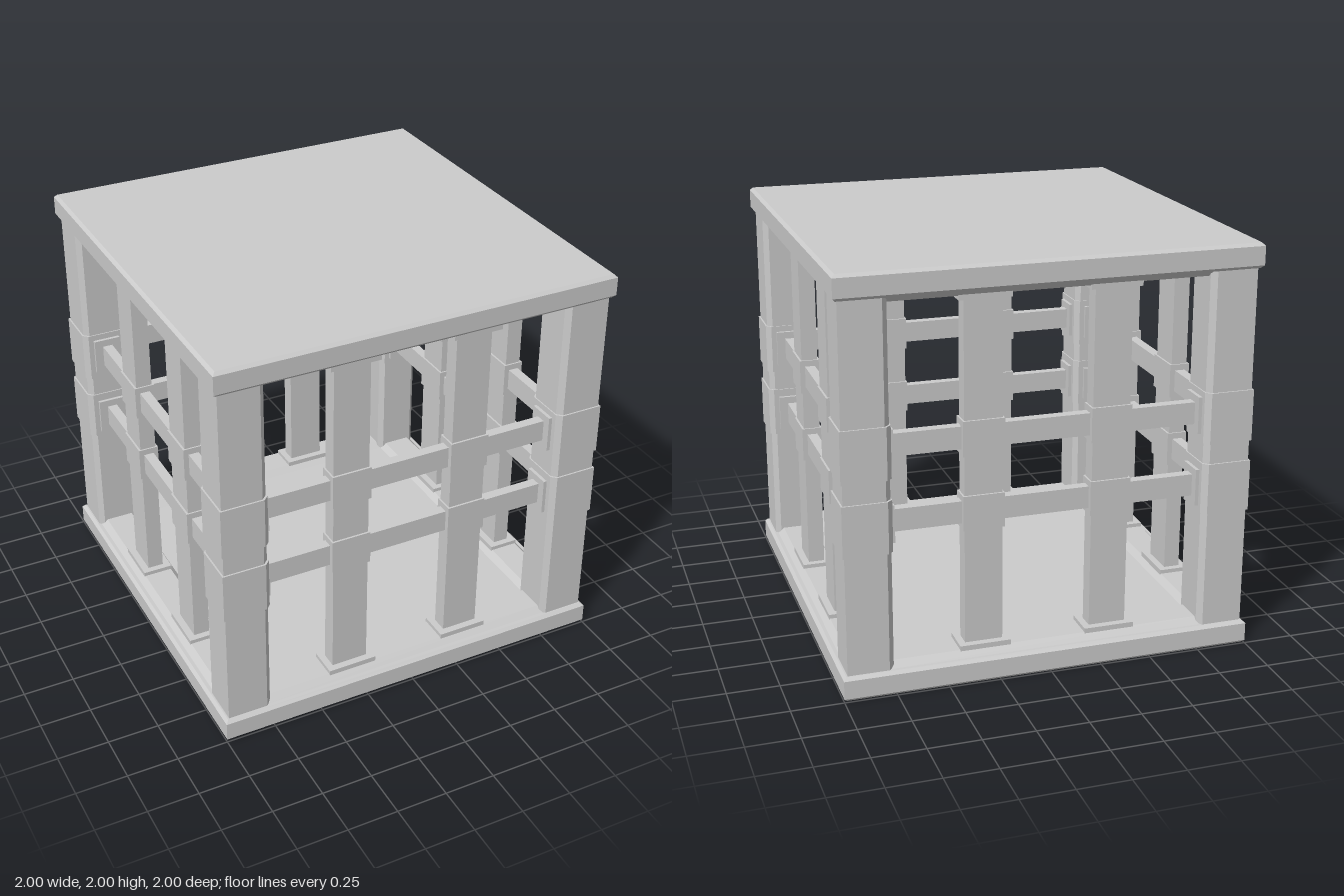
import * as THREE from 'three';

const material = new THREE.MeshStandardMaterial({ color: 0xcccccc, flatShading: true });

function add(parent, name, geometry, x = 0, y = 0, z = 0) {
  const mesh = new THREE.Mesh(geometry, material);
  mesh.name = name;
  mesh.position.set(x, y, z);
  parent.add(mesh);
  return mesh;
}

const box = (w, h, d) => new THREE.BoxGeometry(w, h, d);

function polygon(points) {
  return new THREE.Shape(points.map(([x, y]) => new THREE.Vector2(x, y)));
}

// Square plate with chamfered edges, lying on y = 0
function slabGeometry(half, height, bevel) {
  const h = half - bevel;
  const g = new THREE.ExtrudeGeometry(polygon([[-h, -h], [h, -h], [h, h], [-h, h]]), {
    depth: height - 2 * bevel, bevelEnabled: true,
    bevelSize: bevel, bevelThickness: bevel, bevelSegments: 1,
  });
  return g.rotateX(-Math.PI / 2).translate(0, bevel, 0);
}

// Upright corner prism: sharp outside corner, the other three chamfered
function pillarGeometry(inner, outer, height, c) {
  const shape = polygon([
    [outer, -outer], [outer, -inner - c], [outer - c, -inner], [inner + c, -inner],
    [inner, -inner - c], [inner, -outer + c], [inner + c, -outer],
  ]);
  const g = new THREE.ExtrudeGeometry(shape, { depth: height, bevelEnabled: false });
  return g.rotateX(-Math.PI / 2);
}

// Low rail along x with sloping flanks
function railGeometry(length, halfWidth, height) {
  const shape = polygon([
    [-halfWidth, 0], [halfWidth, 0], [halfWidth - 0.03, height], [-halfWidth + 0.03, height],
  ]);
  const g = new THREE.ExtrudeGeometry(shape, { depth: length, bevelEnabled: false });
  return g.translate(0, 0, -length / 2).rotateY(Math.PI / 2);
}

export function createModel() {
  const model = new THREE.Group();
  model.name = 'cageFrame';

  const slab = slabGeometry(1, 0.12, 0.015);
  add(model, 'baseSlab', slab);
  add(model, 'topSlab', slab, 0, 1.88, 0);

  const line = 0.868; // distance of each wall's centre line
  const barHeights = [0.82, 1.18];
  const postX = [-0.308, 0.308];

  const pillar = pillarGeometry(0.755, 0.978, 1.76, 0.025);
  const pillarCollar = pillarGeometry(0.749, 0.986, 0.25, 0.025);
  const rail = railGeometry(1.6, 0.1, 0.03);

  // Four identical walls, each with one corner pillar
  for (let i = 0; i < 4; i++) {
    const side = new THREE.Group();
    side.name = ['front', 'left', 'back', 'right'][i] + 'Side';
    side.rotation.y = i * Math.PI / 2;
    model.add(side);

    add(side, 'cornerPillar', pillar, 0, 0.12, 0);
    add(side, 'lowerPillarCollar', pillarCollar, 0, 0.7, 0);
    add(side, 'upperPillarCollar', pillarCollar, 0, 1.05, 0);

    // Sill and head rails
    add(side, 'sillRail', rail, 0, 0.12, line);
    add(side, 'headRail', rail, 0, 1.88, line).rotation.x = Math.PI;

    // Posts with foot and head plates
    for (const x of postX) {
      add(side, 'post', box(0.182, 1.72, 0.08), x, 1, line);
      add(side, 'footPlate', box(0.248, 0.03, 0.15), x, 0.155, line);
      add(side, 'headPlate', box(0.248, 0.03, 0.15), x, 1.845, line);
    }

    // Crossbars with collars on the posts and plates at the pillars
    for (const y of barHeights) {
      add(side, 'crossbar', box(1.54, 0.108, 0.05), 0, y, line);
      for (const x of postX) add(side, 'jointCollar', box(0.198, 0.168, 0.1), x, y, line);
      for (const s of [-1, 1]) add(side, 'endPlate', box(0.03, 0.18, 0.135), s * 0.747, y, line);
    }
  }
  return model;
}
